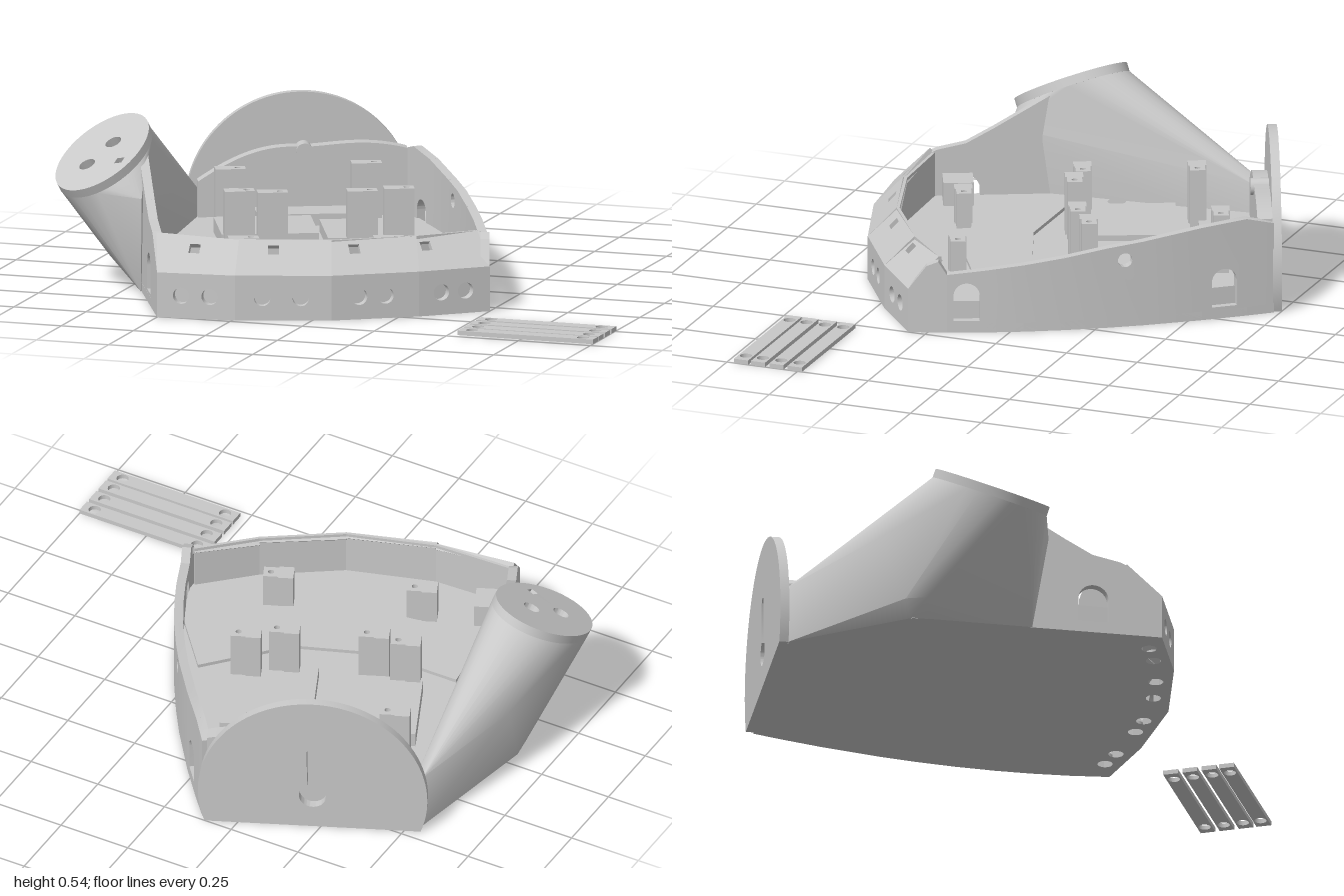
import * as THREE from 'three';
import { mergeGeometries, toCreasedNormals } from 'three/addons/utils/BufferGeometryUtils.js';
import { ConvexGeometry } from 'three/addons/geometries/ConvexGeometry.js';

const V = (x, y, z) => new THREE.Vector3(x, y, z);
const plastic = new THREE.MeshStandardMaterial({ color: 0xc8c8c8 });
plastic.name = 'grey plastic';
const TURN = 0.42; // the back plate and inner parts share this turn
const DECK = 0.1; // height of the inner floor

function add(parent, name, geo, x = 0, y = 0, z = 0, turn = 0) {
  const m = new THREE.Mesh(geo, plastic);
  m.name = name;
  m.position.set(x, y, z);
  m.rotation.y = turn;
  parent.add(m);
  return m;
}

const round = (x, y, r) => new THREE.Path().absarc(x, y, r, 0, Math.PI * 2, true);
const square = (x, y, h) => new THREE.Path([[-h, -h], [-h, h], [h, h], [h, -h]].map(([a, b]) => new THREE.Vector2(x + a, y + b)));
function arch(x, w, y0, y1) {
  const p = new THREE.Path();
  p.moveTo(x + w, y0);
  p.lineTo(x - w, y0);
  p.lineTo(x - w, y1 - w);
  p.absarc(x, y1 - w, w, Math.PI, 0, true);
  p.lineTo(x + w, y0);
  return p;
}
const extrude = (shape, depth, holes = []) => {
  shape.holes.push(...holes);
  return new THREE.ExtrudeGeometry(shape, { depth, bevelEnabled: false, curveSegments: 32 });
};
// flat slab lying in the xz plane
const slab = (pts, h, holes = []) =>
  extrude(new THREE.Shape(pts.map(([x, z]) => new THREE.Vector2(x, -z))), h, holes).rotateX(-Math.PI / 2);

// wall panel: outer corners with the base edge first; holes are in panel coordinates
function panel(pts, holes = [], thick = 0.03) {
  const o = pts[0];
  const ex = pts[1].clone().sub(o).normalize();
  const up = pts[pts.length - 1].clone().sub(o);
  up.addScaledVector(ex, -up.dot(ex)).normalize();
  const n = ex.clone().cross(up);
  const flat = pts.map(p => {
    const d = p.clone().sub(o);
    return new THREE.Vector2(d.dot(ex), d.dot(up));
  });
  const m = new THREE.Matrix4().makeBasis(ex, up, n).setPosition(o);
  return extrude(new THREE.Shape(flat), thick, holes).applyMatrix4(m);
}

// plan outline, clockwise from the back
const sideX = z => 0.375 + 0.489 * z - 0.278 * z * z;
const sideRows = [[-0.73, 0.31], [-0.66, 0.335], [-0.54, 0.32], [-0.38, 0.29], [-0.28, 0.275],
  [-0.16, 0.25], [-0.04, 0.23], [0.07, 0.215], [0.19, 0.2], [0.31, 0.2]];
const front = [[0.5, 0.31], [0.31, 0.47], [0.06, 0.63], [-0.24, 0.73], [-0.5, 0.76]];
const lip = [[0.43, 0.23], [0.27, 0.38], [0.03, 0.54], [-0.26, 0.63], [-0.54, 0.64]];
const frontHoles = [[0.435, 0.37], [0.215, 0.14], [-0.035, -0.155], [-0.325, -0.42]];
const lipHoles = [0.35, 0.14, -0.12, -0.39];

function buildShell(g) {
  // curved side wall with two arches and a round hole
  const side = [];
  for (let i = 0; i < sideRows.length - 1; i++) {
    const [z0, h0] = sideRows[i], [z1, h1] = sideRows[i + 1];
    const x0 = sideX(z0), x1 = sideX(z1), mid = Math.hypot(x1 - x0, z1 - z0) / 2;
    const holes = i === 1 || i === 7 ? [arch(mid, 0.043, 0.04, 0.17)] : i === 3 ? [round(mid, 0.23, 0.024)] : [];
    const pts = [V(x0, 0, z0), V(x1, 0, z1), V(x1, h1, z1), V(x0, h0, z0)];
    if (i === 8) pts.splice(2, 1, V(0.5, 0.15, 0.31), V(0.46, 0.23, 0.26), V(0.43, 0.245, 0.23));
    side.push(panel(pts, holes));
  }
  add(g, 'sideWall', toCreasedNormals(mergeGeometries(side), 0.4));

  // faceted hollow front wall with finger cord holes and a sloping rim
  const thumbHole = round(-0.7, -0.055, 0.03);
  const floorHoles = [thumbHole];
  for (let i = 0; i < 4; i++) {
    const [ax, az] = front[i], [bx, bz] = front[i + 1];
    const [cx, cz] = lip[i], [dx, dz] = lip[i + 1];
    const len = Math.hypot(bx - ax, bz - az), along = x => (ax - x) / (ax - bx) * len;
    add(g, 'frontWall', panel([V(ax, 0, az), V(bx, 0, bz), V(bx, 0.15, bz), V(ax, 0.15, az)],
      frontHoles[i].map(x => round(along(x), 0.075, 0.027))));
    add(g, 'frontRim', panel([V(ax, 0.15, az), V(bx, 0.15, bz), V(dx, 0.25, dz), V(cx, 0.25, cz)],
      [square(along(lipHoles[i]), 0.1, 0.018)], 0.02));
    add(g, 'frontInnerWall', panel([V(cx, 0, cz), V(dx, 0, dz), V(dx, 0.25, dz), V(cx, 0.25, cz)], [], 0.01));
    for (const x of frontHoles[i]) {
      const t = (ax - x) / (ax - bx), z = az + (bz - az) * t;
      floorHoles.push(round(x + (bz - az) / len * -0.055, -(z - (ax - bx) / len * 0.055), 0.025));
    }
  }

  // short wall between the front corner and the thumb
  const w = [V(-0.5, 0, 0.76), V(-0.56, 0, 0.635), V(-0.64, 0, 0.468), V(-0.72, 0, 0.3)];
  const top = (i, y) => V(w[i].x, y, w[i].z);
  add(g, 'thumbSideWall', panel([w[0], w[1], top(1, 0.26), V(-0.54, 0.25, 0.65), top(0, 0.15)]));
  add(g, 'thumbSideWall', panel([w[1], w[2], top(2, 0.33), V(-0.6, 0.28, 0.55), top(1, 0.26)], [arch(0.09, 0.05, 0.04, 0.17)]));
  add(g, 'thumbSideWall', panel([w[2], w[3], top(3, 0.44), top(2, 0.33)]));

  // bottom plate, and the thick inner floor that stops short of the walls
  const plan = [...sideRows.map(([z]) => [sideX(z), z]), ...front.slice(1), [-0.86, 0.01], [-0.79, -0.43]];
  add(g, 'bottomPlate', slab(plan, 0.03, floorHoles));
  const inner = [...sideRows.slice(1, -1).map(([z]) => [sideX(z) - 0.03, z]), ...lip, [-0.66, 0.4], [-0.77, 0], [-0.77, -0.4]];
  add(g, 'innerFloor', slab(inner, DECK - 0.03, [thumbHole]), 0, 0.03);
}

function buildBack(g) {
  const back = new THREE.Group();
  back.name = 'wristEnd';
  back.position.set(-0.475, 0, -0.605);
  back.rotation.y = TURN;
  g.add(back);
  // round plate cut flat at the bottom, with a keyhole
  const R = 0.378, cy = 0.127, a = Math.asin(cy / R);
  const disc = new THREE.Shape().absarc(0, cy, R, -a, Math.PI + a, false);
  const key = new THREE.Path();
  key.absarc(0, 0.125, 0.045, Math.PI * 0.37, Math.PI * 0.63, true);
  key.absarc(0, 0.3, 0.02, Math.PI, 0, true);
  add(back, 'wristPlate', toCreasedNormals(extrude(disc, 0.03, [key]), 0.5));
  // wavy inner wall and its peg
  const s = new THREE.Shape();
  s.moveTo(-0.34, 0);
  s.lineTo(0.35, 0);
  s.lineTo(0.35, 0.32);
  s.bezierCurveTo(0.2, 0.36, 0.1, 0.33, 0, 0.33);
  s.bezierCurveTo(-0.12, 0.34, -0.22, 0.3, -0.34, 0.22);
  add(back, 'wristInnerWall', extrude(s, 0.05), 0, 0, 0.03);
  add(back, 'wristPeg', new THREE.CylinderGeometry(0.028, 0.028, 0.06, 20).rotateX(Math.PI / 2), 0.01, 0.315, 0.06);
}

function buildThumb(g) {
  const C = V(-0.855, 0.44, 0.28);
  const ex = V(0.3, 0.06, 0.07).normalize();
  const n = ex.clone().cross(V(0, 0.18, -0.38)).normalize();
  const ey = n.clone().cross(ex);
  const rx = 0.155, ry = 0.21, depth = 0.03;
  // hull from the foot and the sloping ridge up to the socket
  const pts = [V(-0.79, 0, -0.43), V(-0.76, 0, -0.4), V(-0.86, 0, 0), V(-0.84, 0, 0.06), V(-0.69, 0, 0.37),
    V(-0.91, 0.05, 0), V(-0.9, 0.05, 0.07), V(-0.92, 0.28, -0.08), V(-0.79, 0.2, -0.43), V(-0.76, 0.2, -0.4),
    V(-0.67, 0.32, 0.42)];
  for (let i = 0; i < 32; i++) {
    const t = i / 32 * Math.PI * 2;
    pts.push(C.clone().addScaledVector(ex, rx * Math.cos(t)).addScaledVector(ey, ry * Math.sin(t)).addScaledVector(n, -depth));
  }
  add(g, 'thumbBase', toCreasedNormals(new ConvexGeometry(pts), 0.6));
  // socket face with cord holes
  const face = new THREE.Shape().absellipse(0, 0, rx, ry, 0, Math.PI * 2, false, 0);
  const hole = (x, z) => {
    const y = C.y - (n.x * (x - C.x) + n.z * (z - C.z)) / n.y;
    const d = V(x, y, z).sub(C);
    return [d.dot(ex), d.dot(ey)];
  };
  const cap = extrude(face, depth, [round(...hole(-0.83, 0.24), 0.028), round(...hole(-0.89, 0.33), 0.028),
    square(...hole(-0.77, 0.355), 0.014)]);
  cap.applyMatrix4(new THREE.Matrix4().makeBasis(ex, ey, n).setPosition(C.clone().addScaledVector(n, -depth)));
  add(g, 'thumbSocket', toCreasedNormals(cap, 0.6));
}

function buildInside(g) {
  // raised beds for the inner parts
  add(g, 'frontBed', slab([[-0.58, 0.18], [-0.55, 0.43], [-0.1, 0.37], [0.4, 0.08], [0.2, -0.16], [-0.02, 0.08], [-0.28, 0.18]], 0.012), 0, DECK);
  for (const [x, z, w, d, h] of [[-0.42, -0.11, 0.32, 0.3, 0.05], [-0.1, -0.22, 0.3, 0.32, 0.04], [-0.38, -0.44, 0.36, 0.13, 0.04]])
    add(g, 'partBed', new THREE.BoxGeometry(w, h, d), x, DECK + h / 2, z, TURN);
  // mounting posts, each a block with a screw post beside it
  const posts = [[-0.6, -0.27, 0.3], [-0.21, -0.51, 0.3], [-0.45, 0.075, 0.3], [-0.34, 0.06, 0.3],
    [-0.07, -0.06, 0.3], [0.03, -0.14, 0.3], [0.14, 0.28, 0.22], [-0.31, 0.44, 0.22]];
  for (const [x, z, top] of posts) {
    const h = top - DECK;
    const p = new THREE.Group();
    p.name = 'mountingPost';
    p.position.set(x, DECK, z);
    p.rotation.y = TURN;
    g.add(p);
    add(p, 'postBlock', new THREE.BoxGeometry(0.05, h, 0.06), -0.025, h / 2, 0);
    const screw = slab([[-0.025, -0.025], [-0.025, 0.025], [0.025, 0.025], [0.025, -0.025]], h, [round(0, 0, 0.01)]);
    add(p, 'screwPost', screw, 0.025, 0, 0);
  }
  add(g, 'cornerBlock', new THREE.BoxGeometry(0.1, 0.08, 0.1), -0.51, DECK + 0.04, 0.54, TURN);
}

export function createModel() {
  const g = new THREE.Group();
  g.name = 'palmHousing';
  buildShell(g);
  buildBack(g);
  buildThumb(g);
  buildInside(g);
  // four loose strips with a hole at each end
  for (const z of [0.51, 0.575, 0.64, 0.7])
    add(g, 'strip', slab([[-0.235, 0.025], [0.235, 0.025], [0.235, -0.025], [-0.235, -0.025]], 0.015,
      [round(-0.192, 0, 0.02), round(0.192, 0, 0.02)]), 0.765, 0, z);
  return g;
}
